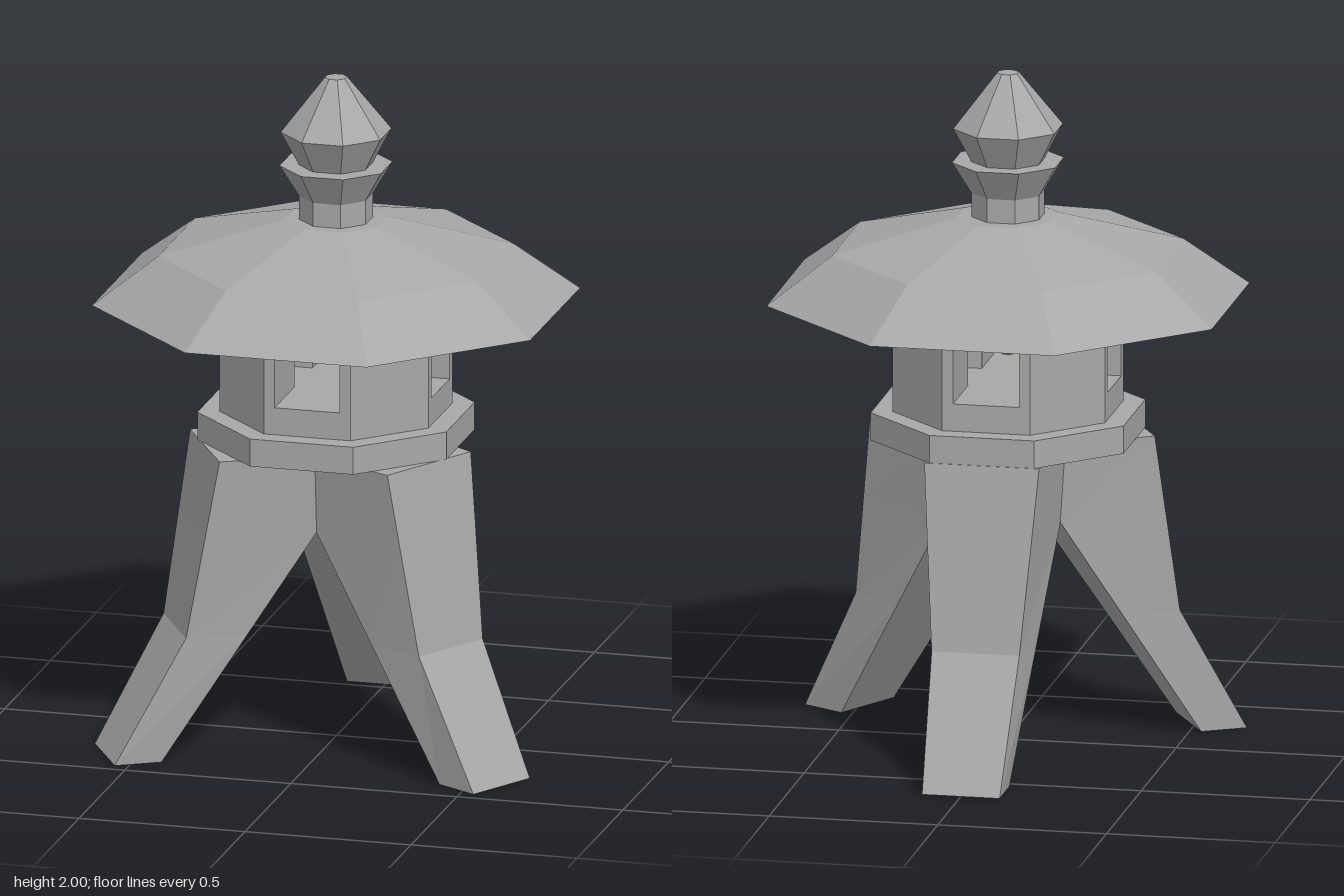
import * as THREE from 'three';

const stone = new THREE.MeshStandardMaterial({ color: 0xa8a8a8 });
stone.name = 'stone';
const amber = new THREE.MeshStandardMaterial({ color: 0xd2932f });
amber.name = 'amber';

const TAU = Math.PI * 2;

// Gives every face its own flat normal
function facet(geometry) {
  const g = geometry.index ? geometry.toNonIndexed() : geometry;
  g.computeVertexNormals();
  return g;
}

function addMesh(parent, name, geometry, material = stone) {
  const mesh = new THREE.Mesh(geometry, material);
  mesh.name = name;
  parent.add(mesh);
  return mesh;
}

// Eight-sided turned solid; profile is [apothem, y] from bottom to top
function octagon(profile) {
  const k = 1 / Math.cos(Math.PI / 8);
  const pts = profile.map(([a, y]) => new THREE.Vector2(a * k, y));
  pts.unshift(new THREE.Vector2(0, profile[0][1]));
  pts.push(new THREE.Vector2(0, profile[profile.length - 1][1]));
  return facet(new THREE.LatheGeometry(pts, 8).rotateY(Math.PI / 8));
}

// Leg pointing to +z, lofted through [y, outerZ, outerHalfWidth, innerZ, innerHalfWidth]
function legGeometry() {
  const rows = [
    [0, 0.69, 0.115, 0.55, 0.115],
    [0.375, 0.48, 0.13, 0.302, 0.147],
    [0.68, 0.429, 0.153, 0.1, 0.173],
    [0.915, 0.39, 0.17, 0.11, 0.19],
  ];
  const pos = [];
  const index = [];
  for (const [y, oz, ow, iz, iw] of rows) {
    pos.push(-ow, y, oz, ow, y, oz, iw, y, iz, -iw, y, iz);
  }
  for (let r = 0; r < rows.length - 1; r++) {
    for (let c = 0; c < 4; c++) {
      const a = r * 4 + c;
      const b = r * 4 + ((c + 1) % 4);
      index.push(a, b, b + 4, a, b + 4, a + 4);
    }
  }
  const t = (rows.length - 1) * 4;
  index.push(0, 2, 1, 0, 3, 2, t, t + 1, t + 2, t, t + 2, t + 3);
  const g = new THREE.BufferGeometry();
  g.setAttribute('position', new THREE.Float32BufferAttribute(pos, 3));
  g.setIndex(index);
  return facet(g);
}

// Corner pillar between two window openings
function pillarGeometry() {
  const a = 0.315;
  const c = a * Math.tan(Math.PI / 8);
  const w = 0.098;
  const shape = new THREE.Shape(
    [[w, w], [a, w], [a, c], [c, a], [w, a]].map(([x, y]) => new THREE.Vector2(x, y))
  );
  const g = new THREE.ExtrudeGeometry(shape, { depth: 0.19, bevelEnabled: false });
  return facet(g.rotateX(Math.PI / 2).translate(0, 1.27, 0));
}

export function createModel() {
  const model = new THREE.Group();
  model.name = 'stoneLantern';

  // Three splayed legs joined by a small hub
  const legs = new THREE.Group();
  legs.name = 'legs';
  legs.position.z = 0.02;
  model.add(legs);
  const legShape = legGeometry();
  ['leftLeg', 'backLeg', 'rightLeg'].forEach((name, i) => {
    addMesh(legs, name, legShape).rotation.y = Math.PI / 3 + (i * TAU) / 3;
  });
  addMesh(legs, 'legHub', facet(new THREE.CylinderGeometry(0.22, 0.2, 0.235, 3)))
    .position.y = 0.7975;

  // Everything above the legs is eight-sided
  const upper = new THREE.Group();
  upper.name = 'upperLantern';
  upper.position.z = 0.007;
  model.add(upper);

  addMesh(upper, 'platform', octagon([[0.375, 0.915], [0.375, 0.998]]));

  // Light chamber with two crossing openings
  const chamber = new THREE.Group();
  chamber.name = 'lightChamber';
  upper.add(chamber);
  addMesh(chamber, 'chamberFloor', octagon([[0.315, 0.998], [0.315, 1.08]]));
  addMesh(chamber, 'chamberCeiling', octagon([[0.315, 1.27], [0.315, 1.335]]));
  const pillar = pillarGeometry();
  for (let i = 0; i < 4; i++) {
    addMesh(chamber, 'cornerPillar', pillar).rotation.y = (i * TAU) / 4;
  }
  addMesh(chamber, 'lamp', new THREE.SphereGeometry(0.047, 24, 16), amber).position.y = 1.2;

  // Roof and finial
  addMesh(upper, 'roof', octagon([[0.66, 1.333], [0.48, 1.475], [0.14, 1.572]]));
  addMesh(upper, 'finial', octagon([
    [0.1, 1.57], [0.1, 1.643], [0.153, 1.737], [0.1, 1.737], [0.15, 1.838], [0.03, 2],
  ]));

  return model;
}
